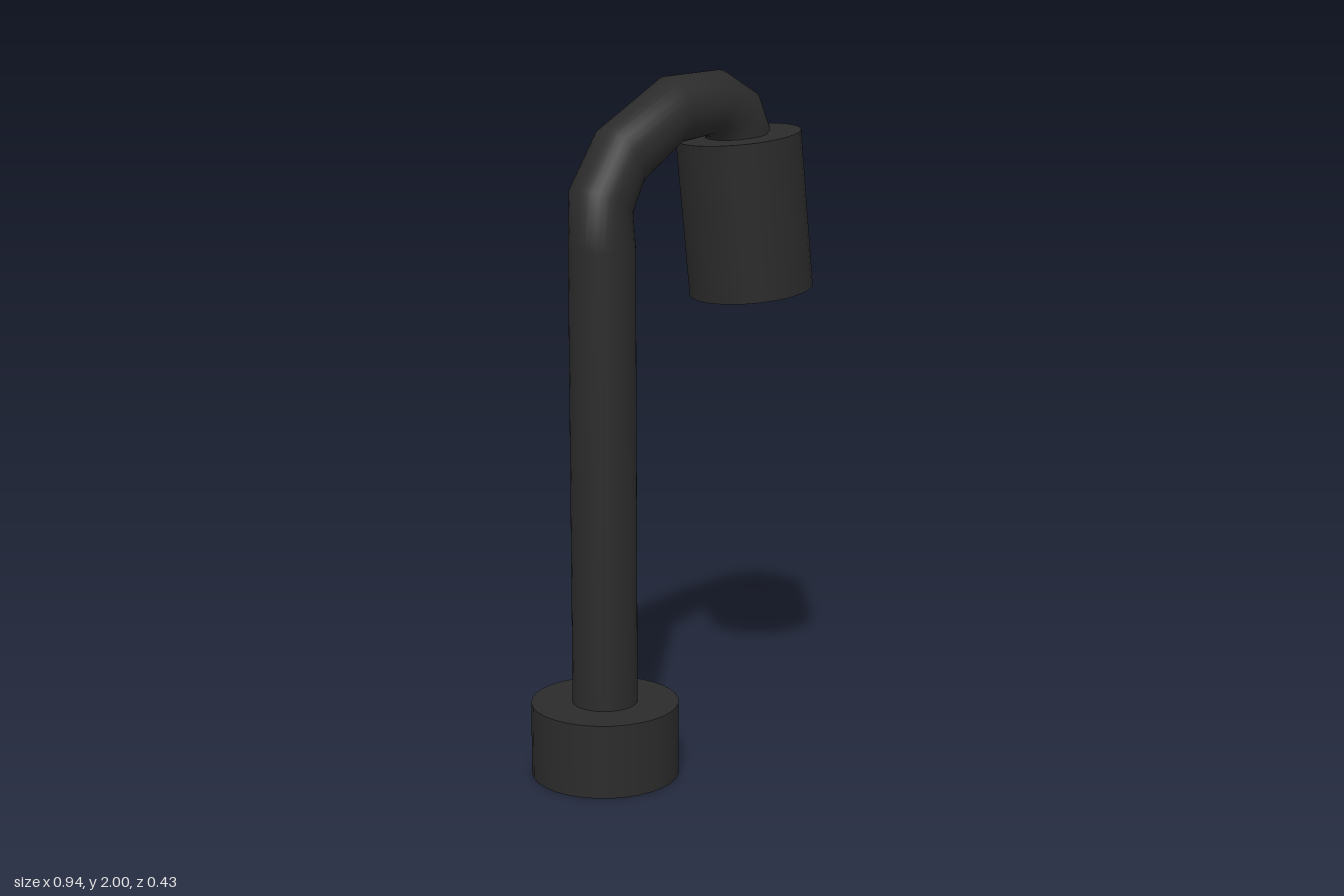
import * as THREE from 'three';

const black = new THREE.MeshStandardMaterial({ color: 0x2b2b2b, side: THREE.DoubleSide });
black.name = 'matte black';
const glow = new THREE.MeshStandardMaterial({ color: 0xd6c42c, side: THREE.DoubleSide });
glow.name = 'lamp yellow';

function add(parent, name, geometry, material, x = 0, y = 0) {
  const mesh = new THREE.Mesh(geometry, material);
  mesh.name = name;
  mesh.position.set(x, y, 0);
  parent.add(mesh);
  return mesh;
}

// Round pipe in the xy plane; each station is [x, y, heading in degrees from straight up towards +x]
function sweepPipe(stations, radius, sides) {
  const position = [], normal = [], index = [];
  stations.forEach(([x, y, deg], i) => {
    const a = THREE.MathUtils.degToRad(deg);
    for (let j = 0; j <= sides; j++) {
      const t = (j / sides) * Math.PI * 2;
      const nx = Math.cos(t) * Math.cos(a), ny = -Math.cos(t) * Math.sin(a), nz = Math.sin(t);
      position.push(x + nx * radius, y + ny * radius, nz * radius);
      normal.push(nx, ny, nz);
      if (i > 0 && j < sides) {
        const b = i * (sides + 1) + j, p = b - sides - 1;
        index.push(p, b, p + 1, p + 1, b, b + 1);
      }
    }
  });
  const g = new THREE.BufferGeometry();
  g.setAttribute('position', new THREE.Float32BufferAttribute(position, 3));
  g.setAttribute('normal', new THREE.Float32BufferAttribute(normal, 3));
  g.setIndex(index);
  return g;
}

export function createModel() {
  const lamp = new THREE.Group();
  lamp.name = 'lamp';

  // Foot
  add(lamp, 'base', new THREE.CylinderGeometry(0.213, 0.213, 0.215, 32), black, -0.26, 0.1075);

  // Upright and bent neck
  const stations = [
    [-0.26, 0.2, 0], [-0.26, 1.53, 0], [-0.262, 1.66, 25], [-0.196, 1.778, 57],
    [-0.013, 1.897, 83], [0.138, 1.91, 105], [0.21, 1.873, 137], [0.235, 1.81, 163],
  ];
  add(lamp, 'pole', sweepPipe(stations, 0.094, 32), black);

  // Tilted shade, open at the bottom
  const shade = new THREE.Group();
  shade.name = 'shade';
  shade.position.set(0.2615, 1.587, 0);
  shade.rotation.z = THREE.MathUtils.degToRad(6.65);
  lamp.add(shade);
  add(shade, 'shadeWall', new THREE.CylinderGeometry(0.181, 0.181, 0.457, 32, 1, true), black);
  const disc = new THREE.CircleGeometry(0.181, 32);
  add(shade, 'shadeTop', disc, black, 0, 0.2285).rotation.x = -Math.PI / 2;

  // Light panel recessed inside the shade
  add(shade, 'lightPanel', new THREE.CircleGeometry(0.179, 32), glow, 0, -0.058).rotation.x = Math.PI / 2;

  return lamp;
}
